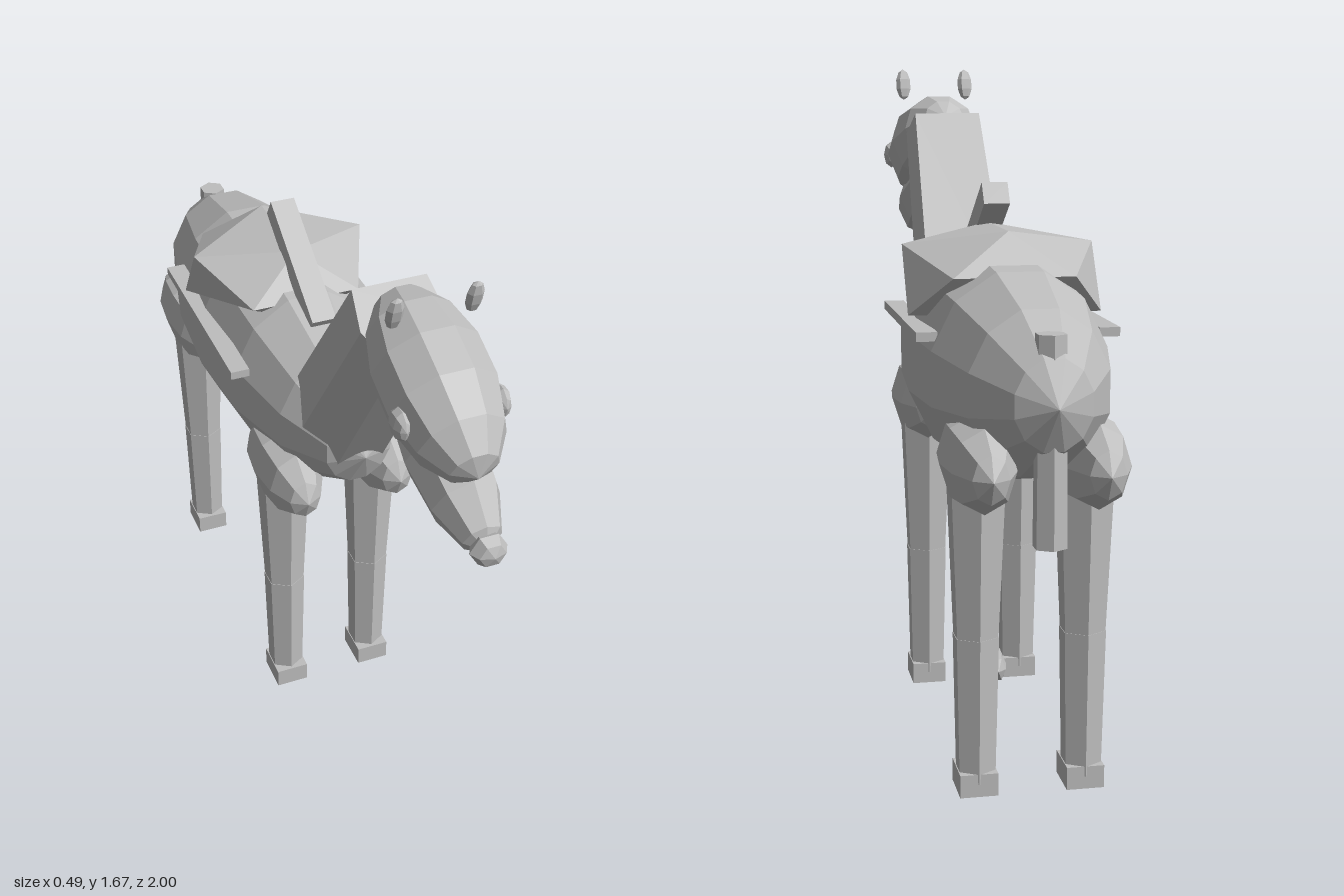
import * as THREE from 'three';

export function createModel() {
  const model = new THREE.Group();
  const grey = new THREE.MeshStandardMaterial({ color: 0xbebebe, flatShading: true });
  grey.name = 'plain grey';

  function add(name, geometry, x, y, z, rx = 0) {
    const mesh = new THREE.Mesh(geometry, grey);
    mesh.name = name;
    mesh.position.set(x, y, z);
    mesh.rotation.x = rx;
    model.add(mesh);
    return mesh;
  }

  // Faceted ellipsoid with its poles along z
  function ellipsoid(rx, ry, rz, around = 8, along = 6, turn = 0) {
    return new THREE.SphereGeometry(1, around, along)
      .rotateY(turn).rotateX(Math.PI / 2).scale(rx, ry, rz);
  }

  // Barrel body
  add('body', ellipsoid(0.235, 0.275, 0.65, 12, 8, Math.PI / 12), 0, 0.96, -0.35);

  // Neck: six-sided tapering prism, flat at the back
  const neckShape = new THREE.Shape([
    [0.105, 0.11], [0.12, -0.01], [0.06, -0.12],
    [-0.06, -0.12], [-0.12, -0.01], [-0.105, 0.11],
  ].map(([x, y]) => new THREE.Vector2(x, y)));
  const neckLength = 0.63;
  const neck = new THREE.ExtrudeGeometry(neckShape, { depth: neckLength, bevelEnabled: false });
  const np = neck.attributes.position;
  for (let i = 0; i < np.count; i++) {
    const s = 1.04 - 0.16 * np.getZ(i) / neckLength;
    np.setXY(i, np.getX(i) * s, np.getY(i) * s);
  }
  // extrude axis points up and forward, the flat side faces back
  add('neck', neck, 0, 0.97, 0.14, -Math.atan2(0.52, 0.35));

  // Head
  add('skull', ellipsoid(0.135, 0.135, 0.25, 10, 7), 0, 1.44, 0.67, 0.4);
  add('snout', ellipsoid(0.095, 0.1, 0.255), 0, 1.29, 0.73, 0.39);
  add('nose', ellipsoid(0.045, 0.042, 0.035, 6, 4), 0, 1.2, 0.965);

  for (const side of [1, -1]) {
    const label = side > 0 ? 'left' : 'right';
    add(label + 'Eye', ellipsoid(0.022, 0.04, 0.038, 8, 5), side * 0.118, 1.415, 0.75);
    add(label + 'Ear', new THREE.SphereGeometry(1, 6, 5).scale(0.022, 0.046, 0.014),
      side * 0.093, 1.627, 0.65, 0.25);

    // Side rail
    add(label + 'Rail', new THREE.BoxGeometry(0.05, 0.022, 0.56), side * 0.218, 1.058, -0.31);

    // Legs: thigh, upper leg, lower leg, hoof
    for (const [end, z, thighZ, thighR] of [['Front', 0.025, 0.05, 0.185], ['Rear', -0.72, -0.74, 0.21]]) {
      const x = side * 0.127;
      const name = label + end;
      add(name + 'Thigh', ellipsoid(0.085, 0.112, thighR), side * 0.13, 0.795, thighZ);
      add(name + 'UpperLeg', new THREE.CylinderGeometry(0.073, 0.055, 0.4, 6), x, 0.565, z);
      add(name + 'LowerLeg', new THREE.CylinderGeometry(0.057, 0.049, 0.35, 6), x, 0.205, z);
      add(name + 'Hoof', new THREE.BoxGeometry(0.09, 0.055, 0.105), x, 0.0275, z + 0.005);
    }
  }

  // Saddle pack: faceted block, lower side corners pushed back
  const saddle = new THREE.IcosahedronGeometry(1, 0).rotateY(Math.PI / 2).rotateZ(Math.PI / 2);
  saddle.rotateZ(-Math.PI / 2);
  const sp = saddle.attributes.position;
  for (let i = 0; i < sp.count; i++) {
    if (sp.getY(i) < -0.3 && Math.abs(sp.getX(i)) > 0.8) {
      sp.setZ(i, sp.getZ(i) - 0.4);
      sp.setY(i, sp.getY(i) - 0.3);
    }
  }
  add('saddle', saddle.scale(0.28, 0.12, 0.25), 0, 1.185, -0.33);

  // Leaning post
  add('post', new THREE.BoxGeometry(0.065, 0.06, 0.36), 0, 1.27, -0.155, 0.57);

  // Tail
  add('tail', new THREE.CylinderGeometry(0.036, 0.04, 0.47, 6), 0, 0.875, -0.918, 0.01);

  // Small loose pebble under the belly
  add('pebble', ellipsoid(0.032, 0.046, 0.065, 6, 4), 0, 0.145, -0.295);

  return model;
}
